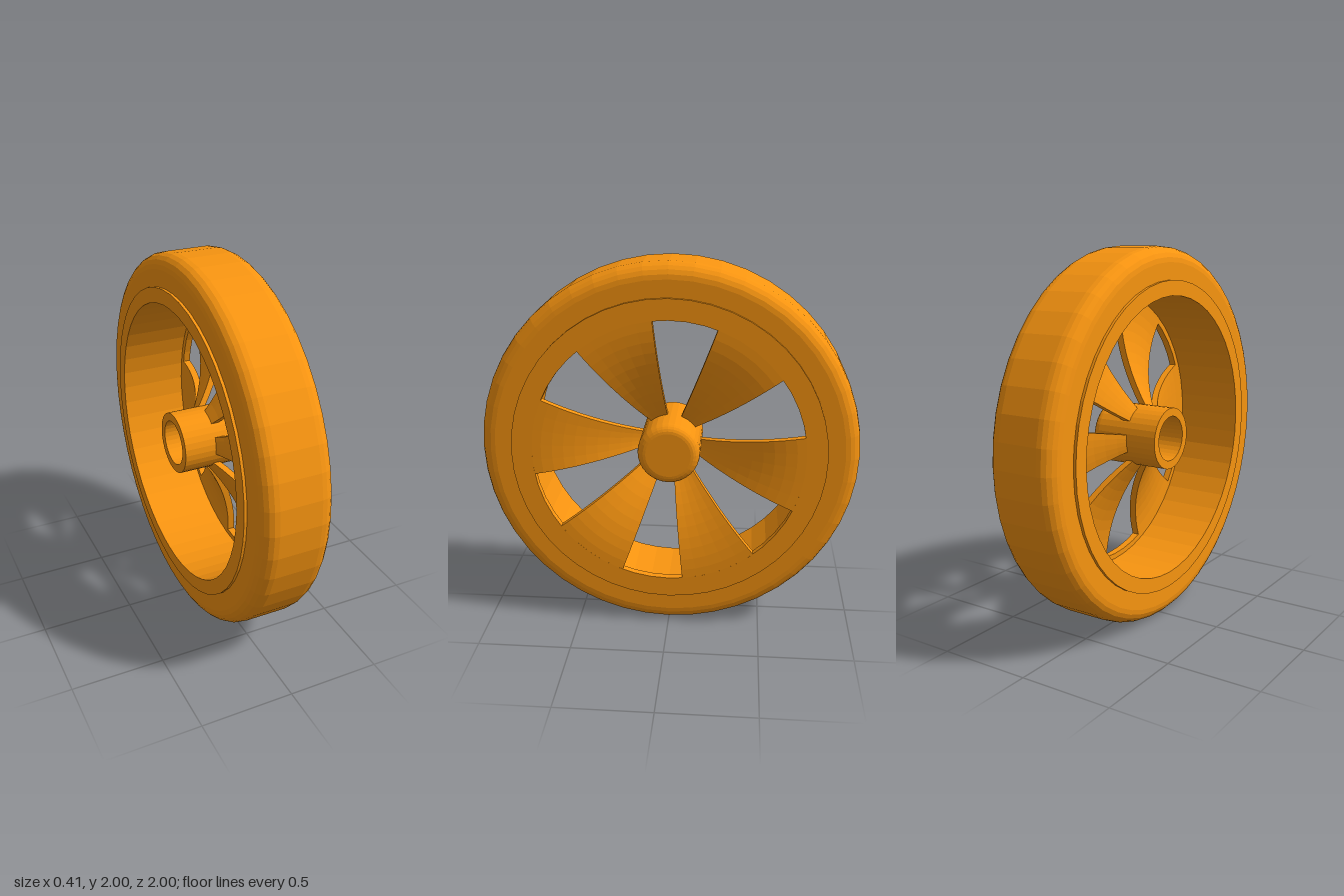
import * as THREE from 'three';

const RAD = Math.PI / 180;
const material = new THREE.MeshStandardMaterial({ color: 0xf79410, flatShading: true });
const spokeMaterial = material.clone();
spokeMaterial.side = THREE.DoubleSide;

const toPoints = (list) => list.map(([r, h]) => new THREE.Vector2(r, h));

// Rounded corner as a short arc of [radius, height] points
function corner(r, h, radius, from, to, steps = 5) {
  return Array.from({ length: steps + 1 }, (_, i) => {
    const a = (from + ((to - from) * i) / steps) * RAD;
    return [r + radius * Math.cos(a), h + radius * Math.sin(a)];
  });
}

// Full turn of a profile around the axle
function turned(name, profile, segments = 48) {
  const mesh = new THREE.Mesh(new THREE.LatheGeometry(toPoints(profile), segments), material);
  mesh.name = name;
  return mesh;
}

// Closed profile swept through part of a turn, with both ends capped
function sector(name, profile, centre, width) {
  const group = new THREE.Group();
  group.name = name;
  const start = (centre - width / 2) * RAD;
  const closed = toPoints([...profile, profile[0]]);
  group.add(new THREE.Mesh(new THREE.LatheGeometry(closed, 5, start, width * RAD), spokeMaterial));
  for (const phi of [start, start + width * RAD]) {
    const cap = new THREE.ShapeGeometry(new THREE.Shape(toPoints(profile)));
    cap.rotateY(phi - Math.PI / 2);
    group.add(new THREE.Mesh(cap, spokeMaterial));
  }
  return group;
}

export function createModel() {
  const wheel = new THREE.Group();
  wheel.name = 'wheel';

  // Tyre with rounded shoulders
  wheel.add(turned('tyre', [
    [0.8, -0.19],
    ...corner(0.92, -0.11, 0.08, -90, 0),
    ...corner(0.92, 0.11, 0.08, 0, 90),
    [0.8, 0.19],
  ]));

  // Rim barrel, open at the back, with a flat face ring at the front
  wheel.add(turned('rim', [
    [0.75, -0.205], [0.83, -0.205], [0.83, 0.205], [0.72, 0.205],
    [0.72, 0.165], [0.75, 0.165], [0.75, -0.205],
  ]));

  // Hub: domed cap in front, hollow socket behind
  wheel.add(turned('hub', [
    [0, 0.08], [0.12, 0.08], [0.12, -0.205], [0.165, -0.205],
    ...corner(0.12, 0.15, 0.045, 0, 90),
    [0, 0.195],
  ], 32));

  // Six spokes, dished inward towards the hub
  const front = [];
  const back = [];
  const steps = 10;
  for (let i = 0; i <= steps; i++) {
    const r = 0.73 - (0.58 * i) / steps;
    const h = 0.205 - 0.633 * Math.max(0, 0.72 - r) ** 2;
    front.push([r, h]);
    back.unshift([r, h - 0.04]);
  }
  for (let k = 0; k < 6; k++) {
    wheel.add(sector('spoke', [...front, ...back], 53 + 60 * k, 33.5));
  }

  // Axle along x, front of the wheel towards +x
  wheel.rotation.z = -Math.PI / 2;
  wheel.position.y = 1;
  const model = new THREE.Group();
  model.name = 'wheelModel';
  model.add(wheel);
  return model;
}
